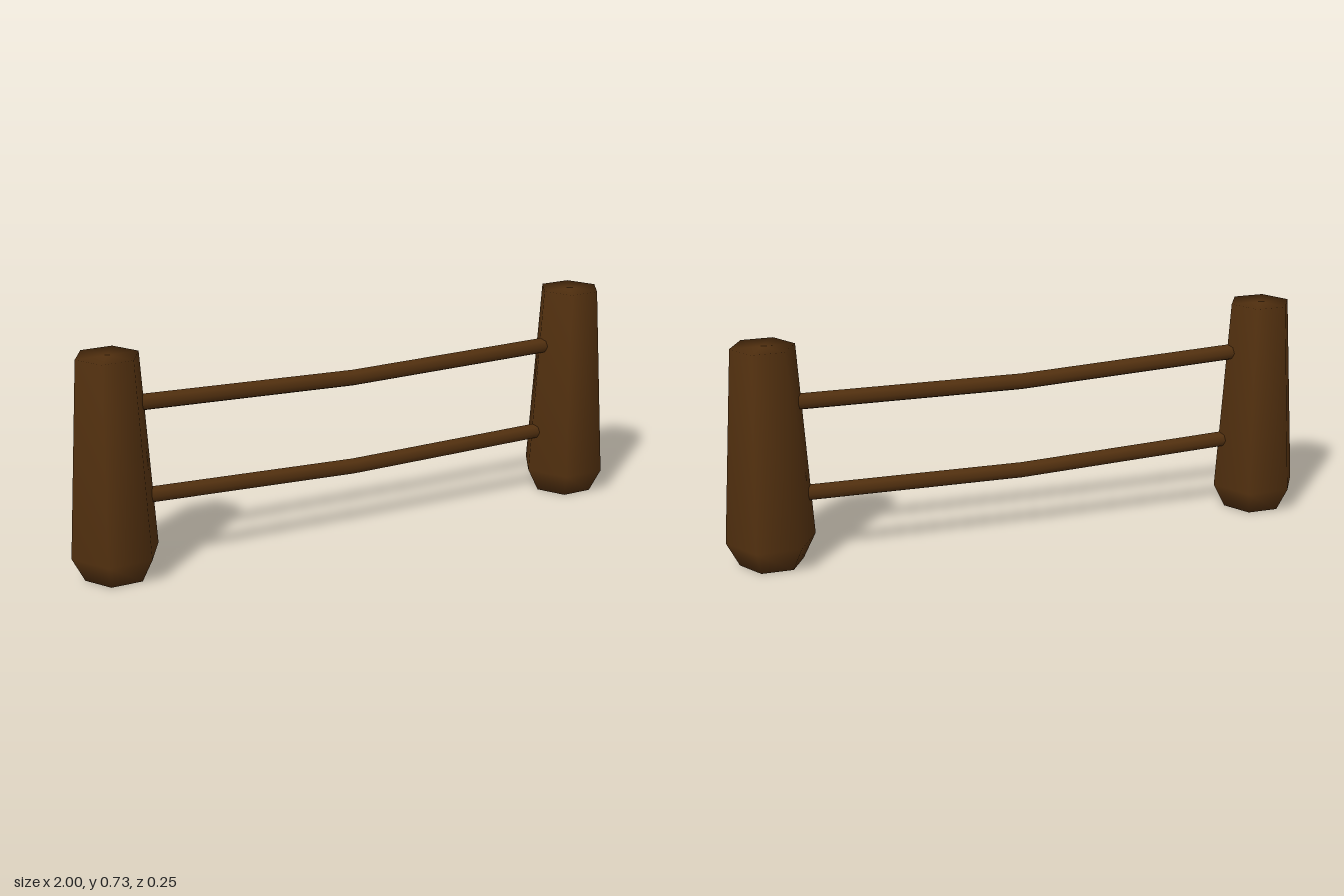
import * as THREE from 'three';

export function createModel() {
  const group = new THREE.Group();
  const wood = new THREE.MeshStandardMaterial({ color: 0x52300f });
  wood.name = 'dark brown wood';

  // Six-sided tapered post: chamfered foot, widest near the ground, closed at both ends
  const profile = [[0, 0], [0.105, 0], [0.147, 0.082], [0.104, 0.727], [0, 0.727]]
    .map(([r, y]) => new THREE.Vector2(r, y));
  const postGeometry = new THREE.LatheGeometry(profile, 6, Math.PI / 2);
  for (const side of [-1, 1]) {
    const post = new THREE.Mesh(postGeometry, wood);
    post.name = side > 0 ? 'leftPost' : 'rightPost';
    post.position.x = side * 0.853;
    group.add(post);
  }

  // Sagging rail with a single bend near the middle, ends buried in the posts
  const railPath = new THREE.CatmullRomCurve3([
    new THREE.Vector3(-0.8, 0.034, 0),
    new THREE.Vector3(0.02, 0, 0),
    new THREE.Vector3(0.8, 0.007, 0),
  ]);
  const railGeometry = new THREE.TubeGeometry(railPath, 2, 0.027, 8);
  for (const [name, y] of [['lowerRail', 0.218], ['upperRail', 0.528]]) {
    const rail = new THREE.Mesh(railGeometry, wood);
    rail.name = name;
    rail.position.y = y;
    group.add(rail);
  }

  return group;
}
